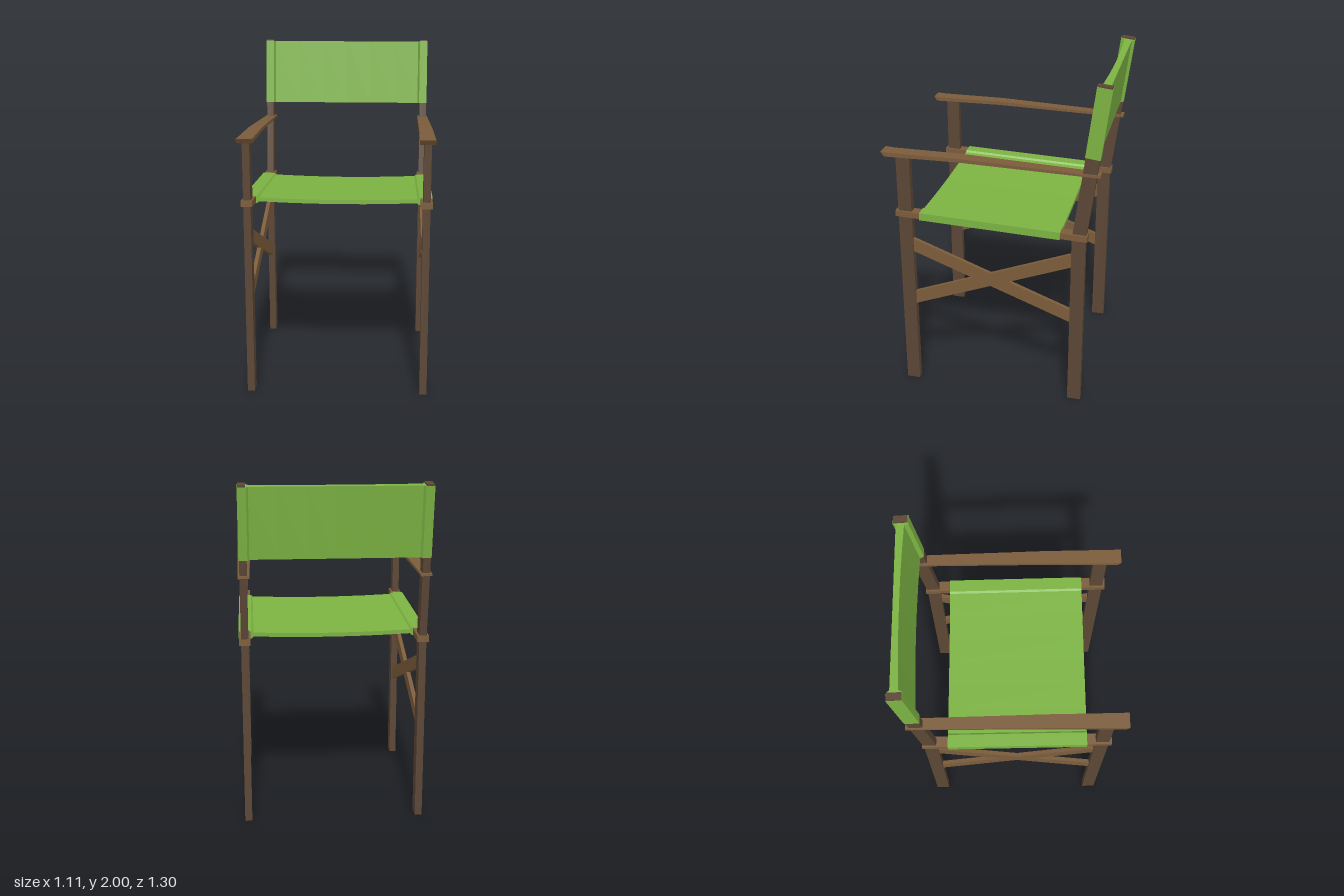
import * as THREE from 'three';

const mat = (name, color) => Object.assign(new THREE.MeshStandardMaterial({ color }), { name });

const toShape = (pts) => new THREE.Shape(pts.map(([a, b]) => new THREE.Vector2(a, b)));

// Solid from a (z, y) side profile, centred on x = 0
function sideProfile(pts, width) {
  const geo = new THREE.ExtrudeGeometry(toShape(pts), { depth: width, bevelEnabled: false });
  return geo.translate(0, 0, -width / 2).rotateY(-Math.PI / 2);
}

// Cloth outline: a sleeve at each end, chamfered into a thin sagging sheet
function clothShape({ outer, inner, sheet, half, top, bottom, topSag, bottomSag }) {
  const sagging = (level, sag) => {
    const row = [];
    for (let i = 0; i <= 6; i++) {
      const t = -1 + i / 3;
      row.push([t * sheet, level - sag * (1 - t * t)]);
    }
    return row;
  };
  return toShape([
    [-outer, -half], [-inner, -half],
    ...sagging(bottom, bottomSag),
    [inner, -half], [outer, -half], [outer, half], [inner, half],
    ...sagging(top, topSag).reverse(),
    [-inner, half], [-outer, half],
  ]);
}

export function createModel() {
  const chair = new THREE.Group();
  chair.name = 'foldingArmchair';
  const darkWood = mat('dark wood', 0x5b4635);
  const wood = mat('wood', 0x7b5c3b);
  const cloth = mat('green cloth', 0x7cb342);

  const add = (name, geo, material, x = 0, y = 0, z = 0) => {
    const mesh = new THREE.Mesh(geo, material);
    mesh.name = name;
    mesh.position.set(x, y, z);
    chair.add(mesh);
    return mesh;
  };

  // Legs; the rear one bends back above the seat
  const frontLeg = sideProfile([[0.49, 0], [0.57, 0], [0.57, 1.505], [0.49, 1.505]], 0.042);
  const rearLeg = sideProfile([
    [-0.535, 0], [-0.455, 0], [-0.455, 1.09], [-0.57, 2], [-0.649, 1.992], [-0.535, 1.09],
  ], 0.042);

  // Seat rail and crossed braces
  const seatRail = sideProfile([[-0.545, 1.083], [0.585, 1.13], [0.585, 1.165], [-0.545, 1.12]], 0.066);
  const braceDown = sideProfile([[-0.46, 0.535], [0.495, 0.9], [0.495, 0.983], [-0.46, 0.618]], 0.024);
  const braceUp = sideProfile([[-0.46, 0.905], [0.495, 0.54], [0.495, 0.623], [-0.46, 0.988]], 0.024);

  // Armrest, widening towards the front
  const armrest = sideProfile([
    [-0.605, 1.479], [0.2, 1.504], [0.63, 1.503], [0.65, 1.531],
    [0.6, 1.527], [0.2, 1.526], [-0.605, 1.493],
  ], 1);
  const p = armrest.attributes.position;
  for (let i = 0; i < p.count; i++) {
    const t = (p.getZ(i) + 0.605) / 1.255;
    p.setX(i, p.getX(i) * (0.064 + 0.026 * t));
  }
  armrest.computeVertexNormals();

  for (const [side, s] of [['left', 1], ['right', -1]]) {
    add(side + 'FrontLeg', frontLeg, darkWood, s * 0.51);
    add(side + 'RearLeg', rearLeg, darkWood, s * 0.51);
    add(side + 'SeatRail', seatRail, wood, s * 0.51);
    add(side + 'BraceDown', braceDown, wood, s * 0.51);
    add(side + 'BraceUp', braceUp, wood, s * 0.51);
    add(side + 'Armrest', armrest, wood, s * 0.508);
  }

  // Seat cloth, wrapped round the rails
  const seat = new THREE.ExtrudeGeometry(clothShape({
    outer: 0.547, inner: 0.47, sheet: 0.459, half: 0.023,
    top: 0.012, bottom: -0.012, topSag: 0.011, bottomSag: 0.011,
  }), { depth: 0.83, bevelEnabled: false });
  seat.translate(0, 0, -0.415).rotateX(-Math.atan(0.041));
  add('seatCloth', seat, cloth, 0, 1.125, 0.025);

  // Back cloth, sleeved over the posts and tilted with them
  const back = new THREE.ExtrudeGeometry(clothShape({
    outer: 0.534, inner: 0.485, sheet: 0.474, half: 0.043,
    top: 0.026, bottom: -0.021, topSag: 0, bottomSag: -0.012,
  }), { depth: 0.405, bevelEnabled: false });
  back.translate(0, 0, -0.2025).rotateX(-Math.PI / 2).rotateX(-Math.atan(0.126));
  add('backCloth', back, cloth, 0, 1.786, -0.583);

  return chair;
}
